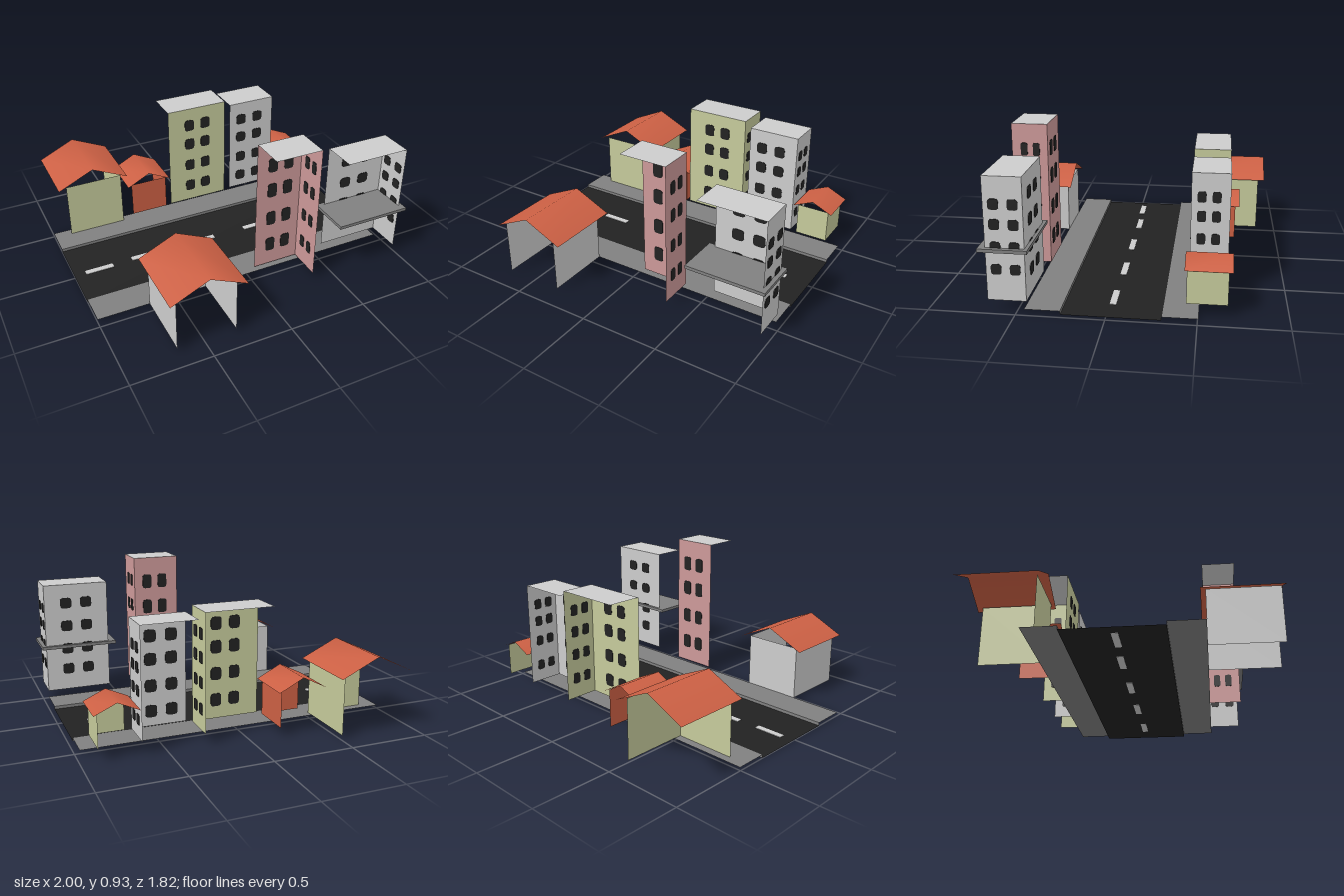
import * as THREE from 'three';

const mat = (name, color, double = true) => new THREE.MeshStandardMaterial({
  name, color, side: double ? THREE.DoubleSide : THREE.FrontSide });

export function createModel() {
  const M = {
    asphalt: mat('asphalt black', 0x222222),
    pavement: mat('pavement grey', 0x808080),
    pale: mat('pale grey', 0xcccccc),
    green: mat('soft green', 0xc5ca9b),
    pink: mat('dusty pink', 0xcd9999),
    tile: mat('tile orange', 0xcc6044),
  };
  const model = new THREE.Group();
  model.name = 'street';

  const add = (parent, name, geo, material, x = 0, y = 0, z = 0) => {
    const m = new THREE.Mesh(geo, material);
    m.name = name;
    m.position.set(x, y, z);
    parent.add(m);
    return m;
  };
  // Thin sheets: facing z, facing x, and lying flat
  const wallZ = (p, name, m, x0, x1, y0, y1, z) =>
    add(p, name, new THREE.PlaneGeometry(x1 - x0, y1 - y0), m, (x0 + x1) / 2, (y0 + y1) / 2, z);
  const wallX = (p, name, m, z0, z1, y0, y1, x) =>
    add(p, name, new THREE.PlaneGeometry(z1 - z0, y1 - y0).rotateY(Math.PI / 2), m, x, (y0 + y1) / 2, (z0 + z1) / 2);
  const flat = (p, name, m, x0, x1, z0, z1, y) =>
    add(p, name, new THREE.PlaneGeometry(x1 - x0, z1 - z0).rotateX(-Math.PI / 2), m, (x0 + x1) / 2, y, (z0 + z1) / 2);

  // Window plate with rounded corners, seen from both sides of its wall
  const windowGeo = (w, h) => {
    const s = new THREE.Shape(), a = w / 2, b = h / 2, r = Math.min(w, h) * 0.3;
    s.moveTo(-a + r, -b);
    s.lineTo(a - r, -b).quadraticCurveTo(a, -b, a, -b + r);
    s.lineTo(a, b - r).quadraticCurveTo(a, b, a - r, b);
    s.lineTo(-a + r, b).quadraticCurveTo(-a, b, -a, b - r);
    s.lineTo(-a, -b + r).quadraticCurveTo(-a, -b, -a + r, -b);
    return new THREE.ExtrudeGeometry(s, { depth: 0.006, bevelEnabled: false, curveSegments: 3 })
      .translate(0, 0, -0.003);
  };

  // Road with raised pavements, inner curbs and lane dashes
  const road = new THREE.Group();
  road.name = 'road';
  model.add(road);
  flat(road, 'roadSurface', M.asphalt, -1, 0.97, -0.305, 0.255, 0.002);
  flat(road, 'backPavement', M.pavement, -1, 0.97, -0.505, -0.305, 0.022);
  flat(road, 'frontPavement', M.pavement, -1, 0.97, 0.255, 0.457, 0.022);
  for (const z of [-0.305, 0.255]) wallZ(road, 'curb', M.pavement, -1, 0.97, 0, 0.022, z);
  for (const [x, z] of [[-0.833, -0.02], [-0.518, -0.03], [-0.105, -0.025], [0.307, -0.025], [0.722, -0.018]])
    add(road, 'laneDash', new THREE.BoxGeometry(0.185, 0.005, 0.038), M.pale, x, 0.0025, z);

  // Tower: street wall, right wall and flat roof, with window grids
  function tower({ name, m, x, z, y, street, cols, rows, size, sideCols, sideRows, sideSize }) {
    const g = new THREE.Group();
    g.name = name;
    model.add(g);
    wallZ(g, 'streetWall', m, x[0], x[1], y[0], y[1], street);
    wallX(g, 'rightWall', m, z[0], z[1], y[0], y[1], x[1]);
    flat(g, 'flatRoof', M.pale, x[0], x[1], z[0], z[1], y[1]);
    const front = windowGeo(...size), side = windowGeo(...sideSize).rotateY(Math.PI / 2);
    for (const wy of rows) for (const wx of cols) add(g, 'streetWindow', front, M.asphalt, wx, wy, street);
    for (const wy of sideRows) for (const wz of sideCols) add(g, 'sideWindow', side, M.asphalt, x[1], wy, wz);
    return g;
  }
  tower({ name: 'greenTower', m: M.green, x: [-0.155, 0.27], z: [-0.66, -0.44], y: [0.07, 0.787], street: -0.44,
    cols: [0, 0.118], rows: [0.663, 0.519, 0.353, 0.187], size: [0.068, 0.08],
    sideCols: [-0.5, -0.585], sideRows: [0.65, 0.51, 0.36, 0.2], sideSize: [0.05, 0.07] });
  tower({ name: 'backGreyTower', m: M.pale, x: [0.31, 0.648], z: [-0.66, -0.44], y: [0.08, 0.75], street: -0.44,
    cols: [0.4, 0.527], rows: [0.626, 0.487, 0.326, 0.171], size: [0.072, 0.075],
    sideCols: [-0.5, -0.583], sideRows: [0.61, 0.495, 0.36, 0.19], sideSize: [0.05, 0.065] });
  tower({ name: 'pinkTower', m: M.pink, x: [0.05, 0.353], z: [0.44, 0.66], y: [0.045, 0.932], street: 0.44,
    cols: [0.158, 0.265], rows: [0.77, 0.594, 0.39, 0.193], size: [0.062, 0.095],
    sideCols: [0.51, 0.585], sideRows: [0.775, 0.6, 0.4, 0.2], sideSize: [0.042, 0.08] });
  const shop = tower({ name: 'frontGreyTower', m: M.pale, x: [0.55, 0.97], z: [0.44, 0.66], y: [0.07, 0.787], street: 0.44,
    cols: [0.695, 0.828], rows: [0.663, 0.508, 0.353, 0.212], size: [0.075, 0.07],
    sideCols: [0.495, 0.602], sideRows: [0.63, 0.515, 0.385, 0.255], sideSize: [0.06, 0.062] });
  add(shop, 'canopySlab', new THREE.BoxGeometry(0.495, 0.02, 0.28), M.pavement, 0.75, 0.37, 0.56);

  // Gable roof sheet with the ridge along z; shared ridge points keep the shading soft
  function gable(x0, x1, z0, z1, eave, ridge) {
    const xm = (x0 + x1) / 2, geo = new THREE.BufferGeometry();
    geo.setAttribute('position', new THREE.Float32BufferAttribute([
      x0, eave, z0, x0, eave, z1, xm, ridge, z0, xm, ridge, z1, x1, eave, z0, x1, eave, z1], 3));
    geo.setIndex([0, 1, 3, 0, 3, 2, 2, 3, 5, 2, 5, 4]);
    geo.computeVertexNormals();
    return geo;
  }
  // House: walls left open at the rear, under a tiled gable
  function house({ name, m, x, z, y, street, roof, leftWall }) {
    const g = new THREE.Group();
    g.name = name;
    model.add(g);
    wallZ(g, 'streetWall', m, x[0], x[1], y[0], y[1], street);
    wallX(g, 'rightWall', m, z[0], z[1], y[0], y[1], x[1]);
    if (leftWall) wallX(g, 'leftWall', m, z[0], z[1], y[0], y[1], x[0]);
    add(g, 'gableRoof', gable(...roof), M.tile);
  }
  house({ name: 'greenHouse', m: M.green, x: [-0.89, -0.512], z: [-0.87, -0.455], y: [0.022, 0.392], street: -0.455,
    roof: [-0.945, -0.47, -0.91, -0.435, 0.383, 0.493] });
  house({ name: 'orangeHouse', m: M.tile, x: [-0.44, -0.187], z: [-0.71, -0.45], y: [0.058, 0.294], street: -0.45,
    roof: [-0.467, -0.16, -0.738, -0.435, 0.286, 0.363] });
  house({ name: 'smallGreenHouse', m: M.green, x: [0.69, 0.9], z: [-0.663, -0.435], y: [0.077, 0.288], street: -0.435,
    roof: [0.66, 0.925, -0.685, -0.423, 0.28, 0.34] });
  house({ name: 'greyHouse', m: M.pale, x: [-0.672, -0.3], z: [0.457, 0.88], y: [0.022, 0.364], street: 0.457,
    roof: [-0.715, -0.24, 0.427, 0.905, 0.354, 0.464], leftWall: true });

  return model;
}
